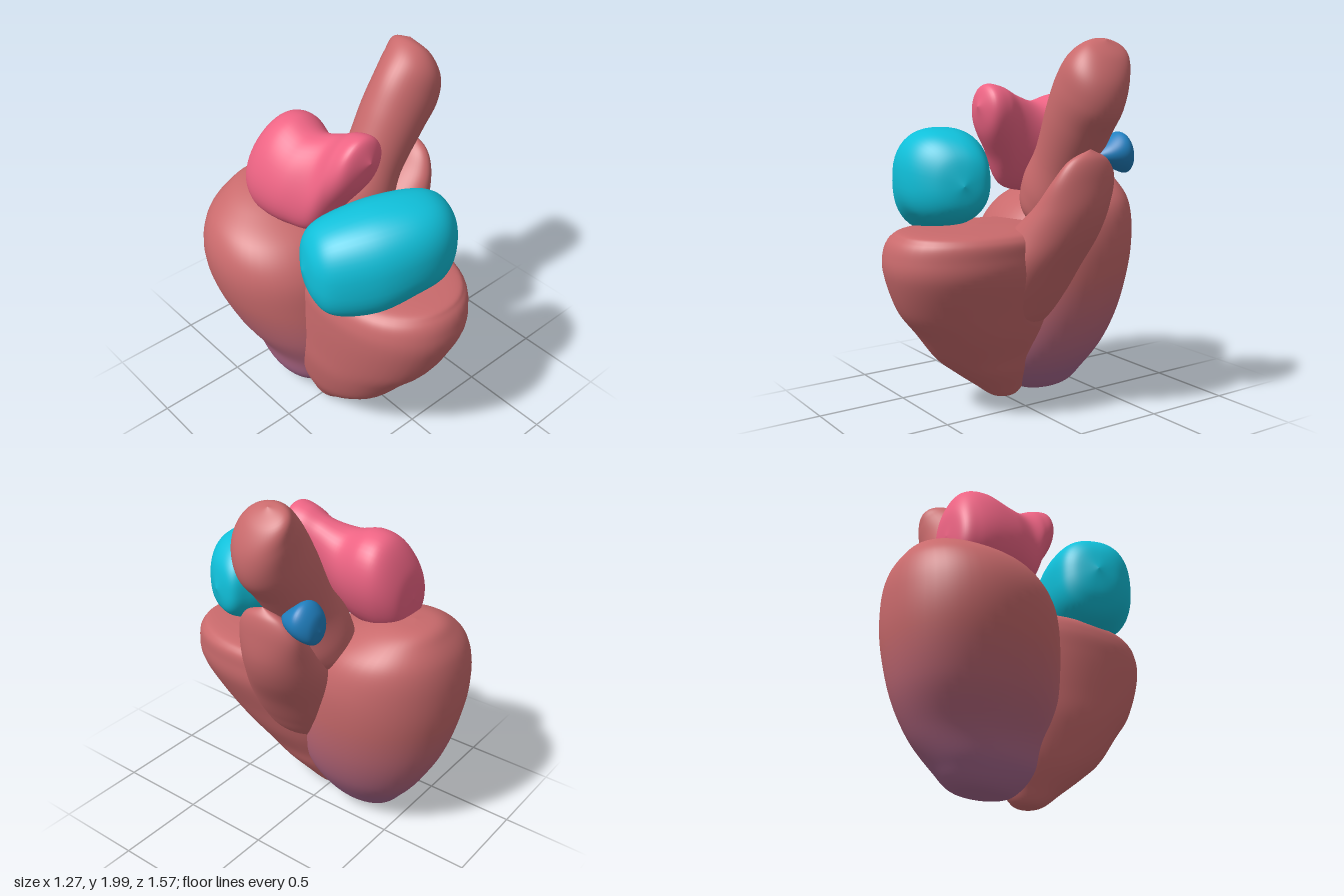
import * as THREE from 'three';

const X = new THREE.Vector3(1, 0, 0);
const Y = new THREE.Vector3(0, 1, 0);
const Z = new THREE.Vector3(0, 0, 1);
const BACK = new THREE.Vector3(0, 0, -1);

const RED = 0xc96a6c, PURPLE = 0xa8688e, PINK = 0xee6484, CYAN = 0x10c0da, BLUE = 0x2080c0;
const STEPS = 8, SIDES = 48;

// Smooth closed loft through rings [x, y, z, radiusU, radiusV]; u x v points along the loft.
function loft(keys, u, v, power = 2) {
  const centres = new THREE.CatmullRomCurve3(keys.map(k => new THREE.Vector3(k[0], k[1], k[2])), false, 'catmullrom', 0.5);
  const radii = new THREE.CatmullRomCurve3(keys.map(k => new THREE.Vector3(k[3], k[4], 0)), false, 'catmullrom', 0.5);
  const rows = (keys.length - 1) * STEPS;
  const positions = [], index = [];
  const bulge = c => Math.sign(c) * Math.abs(c) ** (2 / power);
  for (let i = 0; i <= rows; i++) {
    const c = centres.getPoint(i / rows), r = radii.getPoint(i / rows);
    for (let j = 0; j < SIDES; j++) {
      const a = (j / SIDES) * Math.PI * 2;
      const p = c.clone()
        .addScaledVector(u, Math.max(r.x, 0) * bulge(Math.cos(a)))
        .addScaledVector(v, Math.max(r.y, 0) * bulge(Math.sin(a)));
      positions.push(p.x, p.y, p.z);
      if (i < rows) {
        const n = (j + 1) % SIDES, lo = i * SIDES, hi = lo + SIDES;
        index.push(lo + j, lo + n, hi + j, lo + n, hi + n, hi + j);
      }
    }
  }
  const g = new THREE.BufferGeometry();
  g.setAttribute('position', new THREE.Float32BufferAttribute(positions, 3));
  g.setIndex(index);
  g.computeVertexNormals();
  return g;
}

const paint = color => new THREE.MeshStandardMaterial({ color });

export function createModel() {
  const model = new THREE.Group();
  model.name = 'heart';
  const add = (name, geometry, material) => {
    const mesh = new THREE.Mesh(geometry, material);
    mesh.name = name;
    model.add(mesh);
    return mesh;
  };

  // Rear chamber: an egg that narrows to the apex, its top sloping down to the front
  const rear = loft([
    [-0.2, 0.02, -0.22, 0, 0],
    [-0.19, 0.05, -0.24, 0.11, 0.16],
    [-0.18, 0.15, -0.23, 0.19, 0.27],
    [-0.16, 0.3, -0.25, 0.26, 0.36],
    [-0.18, 0.5, -0.285, 0.35, 0.425],
    [-0.2, 0.75, -0.325, 0.42, 0.445],
    [-0.205, 0.95, -0.35, 0.435, 0.43],
    [-0.195, 1.1, -0.39, 0.39, 0.365],
    [-0.18, 1.2, -0.45, 0.28, 0.25],
    [-0.17, 1.26, -0.5, 0.15, 0.14],
    [-0.17, 1.275, -0.52, 0, 0],
  ], X, BACK, 2.1);
  // The purple apex fades to red in bands of rows
  const row = SIDES * 6, fadeStart = 2 * STEPS, fadeEnd = 5 * STEPS;
  const rearPaint = [paint(PURPLE)];
  rear.addGroup(0, fadeStart * row, 0);
  for (let i = fadeStart; i < fadeEnd; i++) {
    const mix = (i - fadeStart + 1) / (fadeEnd - fadeStart);
    rear.addGroup(i * row, row, rearPaint.length);
    rearPaint.push(paint(new THREE.Color(PURPLE).lerp(new THREE.Color(RED), mix)));
  }
  rear.addGroup(fadeEnd * row, Infinity, rearPaint.length - 1);
  add('rearChamber', rear, rearPaint);

  // Front chamber: a wedge leaning forward from the apex
  add('frontChamber', loft([
    [-0.2, 0, -0.01, 0, 0],
    [-0.2, 0.025, 0.01, 0.06, 0.08],
    [-0.19, 0.1, 0.04, 0.11, 0.155],
    [-0.18, 0.2, 0.09, 0.17, 0.24],
    [-0.17, 0.3, 0.13, 0.21, 0.32],
    [-0.14, 0.45, 0.18, 0.27, 0.39],
    [-0.11, 0.6, 0.23, 0.31, 0.46],
    [-0.07, 0.8, 0.28, 0.36, 0.495],
    [-0.06, 0.92, 0.29, 0.365, 0.49],
    [-0.045, 1.0, 0.29, 0.34, 0.455],
    [-0.03, 1.035, 0.28, 0.25, 0.38],
    [-0.03, 1.045, 0.28, 0, 0],
  ], X, BACK, 2.15), paint(RED));

  // Horn swelling out of the side of the front chamber and tapering to a ridge
  add('sideHorn', loft([
    [-0.06, 0.35, 0.08, 0, 0],
    [-0.02, 0.5, 0.08, 0.15, 0.2],
    [0.04, 0.65, 0.06, 0.2, 0.25],
    [0.12, 0.82, 0.03, 0.225, 0.26],
    [0.23, 1.0, -0.02, 0.225, 0.235],
    [0.345, 1.15, -0.045, 0.165, 0.205],
    [0.425, 1.3, -0.06, 0.095, 0.18],
    [0.46, 1.4, -0.06, 0.05, 0.115],
    [0.475, 1.455, -0.06, 0, 0],
  ], X, BACK), paint(RED));

  // Great vessel slanting up to the side
  add('greatVessel', loft([
    [0.05, 1.0, -0.12, 0, 0],
    [0.07, 1.08, -0.12, 0.15, 0.17],
    [0.13, 1.2, -0.11, 0.2, 0.19],
    [0.22, 1.38, -0.1, 0.17, 0.165],
    [0.345, 1.6, -0.09, 0.19, 0.17],
    [0.435, 1.735, -0.085, 0.203, 0.168],
    [0.49, 1.85, -0.095, 0.165, 0.16],
    [0.51, 1.94, -0.125, 0.09, 0.115],
    [0.5, 1.985, -0.13, 0, 0],
  ], new THREE.Vector3(0.82, -0.57, 0), BACK), paint(RED));

  // Two-lobed upper chamber, running back to front, tilted towards the great vessel
  add('upperRearChamber', loft([
    [-0.2, 1.36, -0.485, 0, 0],
    [-0.2, 1.37, -0.465, 0.13, 0.16],
    [-0.18, 1.41, -0.39, 0.19, 0.27],
    [-0.18, 1.425, -0.28, 0.205, 0.29],
    [-0.19, 1.42, -0.14, 0.18, 0.26],
    [-0.17, 1.46, 0, 0.135, 0.26],
    [-0.13, 1.56, 0.1, 0.14, 0.2],
    [-0.11, 1.63, 0.19, 0.115, 0.13],
    [-0.1, 1.65, 0.235, 0, 0],
  ], new THREE.Vector3(0.93, -0.37, 0), new THREE.Vector3(0.37, 0.93, 0), 2.1), paint(PINK));

  // Boxy upper chamber, turned across the front
  const upperFront = add('upperFrontChamber', loft([
    [-0.42, 1.24, 0.42, 0, 0],
    [-0.385, 1.235, 0.42, 0.15, 0.13],
    [-0.3, 1.23, 0.43, 0.24, 0.2],
    [-0.1, 1.26, 0.455, 0.275, 0.24],
    [0.1, 1.3, 0.46, 0.25, 0.235],
    [0.25, 1.3, 0.44, 0.22, 0.2],
    [0.345, 1.29, 0.4, 0.14, 0.13],
    [0.38, 1.28, 0.39, 0, 0],
  ], Y, Z, 2.4), paint(CYAN));
  upperFront.rotation.y = -0.38;

  // Small pointed bud behind the horn
  add('smallVesselBud', loft([
    [0.41, 1.39, -0.36, 0, 0],
    [0.41, 1.4, -0.34, 0.07, 0.08],
    [0.42, 1.43, -0.28, 0.1, 0.1],
    [0.42, 1.42, -0.2, 0.07, 0.055],
    [0.42, 1.41, -0.13, 0, 0],
  ], X, Y), paint(BLUE));

  return model;
}
